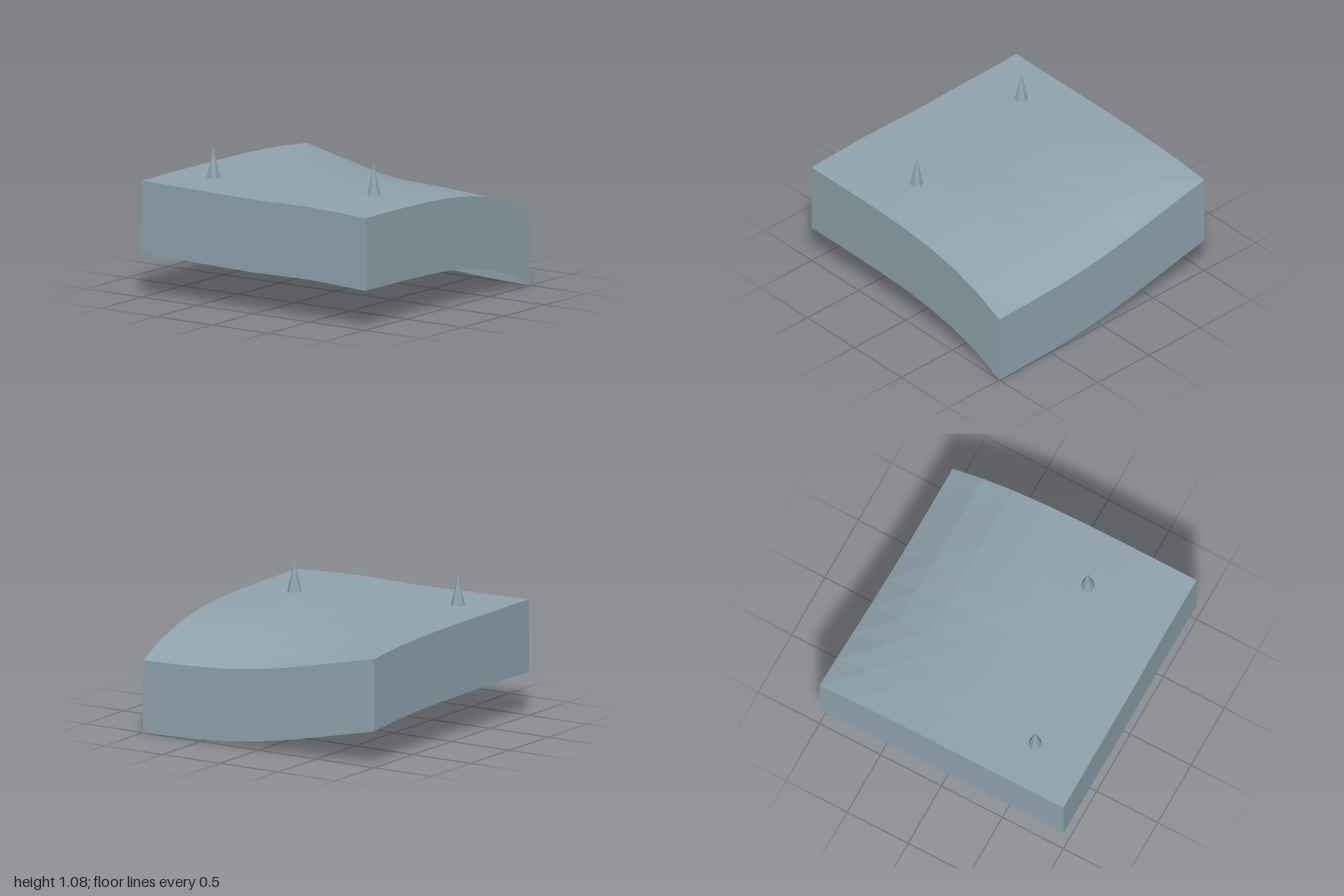
import * as THREE from 'three';

const THICK = 0.535;
// Edge heights sampled every 0.25 from z = -1 to z = 1
const LEFT_EDGE = [0.857, 0.852, 0.848, 0.842, 0.838, 0.843, 0.845, 0.836, 0.824];
const RIGHT_EDGE = [0.802, 0.749, 0.695, 0.642, 0.599, 0.567, 0.551, 0.541, 0.535];

function sample(table, z) {
  const t = THREE.MathUtils.clamp((z + 1) * 4, 0, 8);
  const i = Math.min(7, Math.floor(t));
  return THREE.MathUtils.lerp(table[i], table[i + 1], t - i);
}

// Ground height: level on one side, falling away ever steeper towards +x
function groundHeight(x, z) {
  const fall = Math.pow(THREE.MathUtils.clamp((x + 1) / 2, 0, 1), 4.4 - 0.4 * z);
  return THREE.MathUtils.lerp(sample(LEFT_EDGE, z), sample(RIGHT_EDGE, z), fall);
}

// Lifts every vertex onto the ground; vertices below zero hang under it
function drape(geometry) {
  const p = geometry.attributes.position;
  for (let i = 0; i < p.count; i++) {
    const drop = p.getY(i) < -0.01 ? THICK : 0;
    p.setY(i, groundHeight(p.getX(i), p.getZ(i)) - drop);
  }
  geometry.computeVertexNormals();
  return geometry;
}

export function createModel() {
  const model = new THREE.Group();
  model.name = 'terrainTile';
  const stone = new THREE.MeshStandardMaterial({ color: 0x90a4ae, flatShading: true, side: THREE.DoubleSide });
  stone.name = 'blueGreyStone';

  const add = (name, geometry) => {
    const mesh = new THREE.Mesh(geometry, stone);
    mesh.name = name;
    model.add(mesh);
    return mesh;
  };

  // Rolling top surface
  add('ground', drape(new THREE.PlaneGeometry(2, 2, 8, 8).rotateX(-Math.PI / 2)));

  // Skirt walls, open underneath
  ['frontWall', 'leftWall', 'backWall', 'rightWall'].forEach((name, k) => {
    const wall = new THREE.PlaneGeometry(2, THICK, 8, 1)
      .translate(0, -THICK / 2, 1)
      .rotateY(k * Math.PI / 2);
    add(name, drape(wall));
  });

  // Seven-sided spikes standing on the ground
  const spike = new THREE.ConeGeometry(0.052, 0.23, 7, 1).translate(0, 0.115, 0).rotateY(Math.PI);
  [[-0.585, -0.665], [-0.335, 0.585]].forEach(([x, z], i) => {
    add('spike' + (i + 1), spike).position.set(x, groundHeight(x, z) - 0.002, z);
  });

  return model;
}
